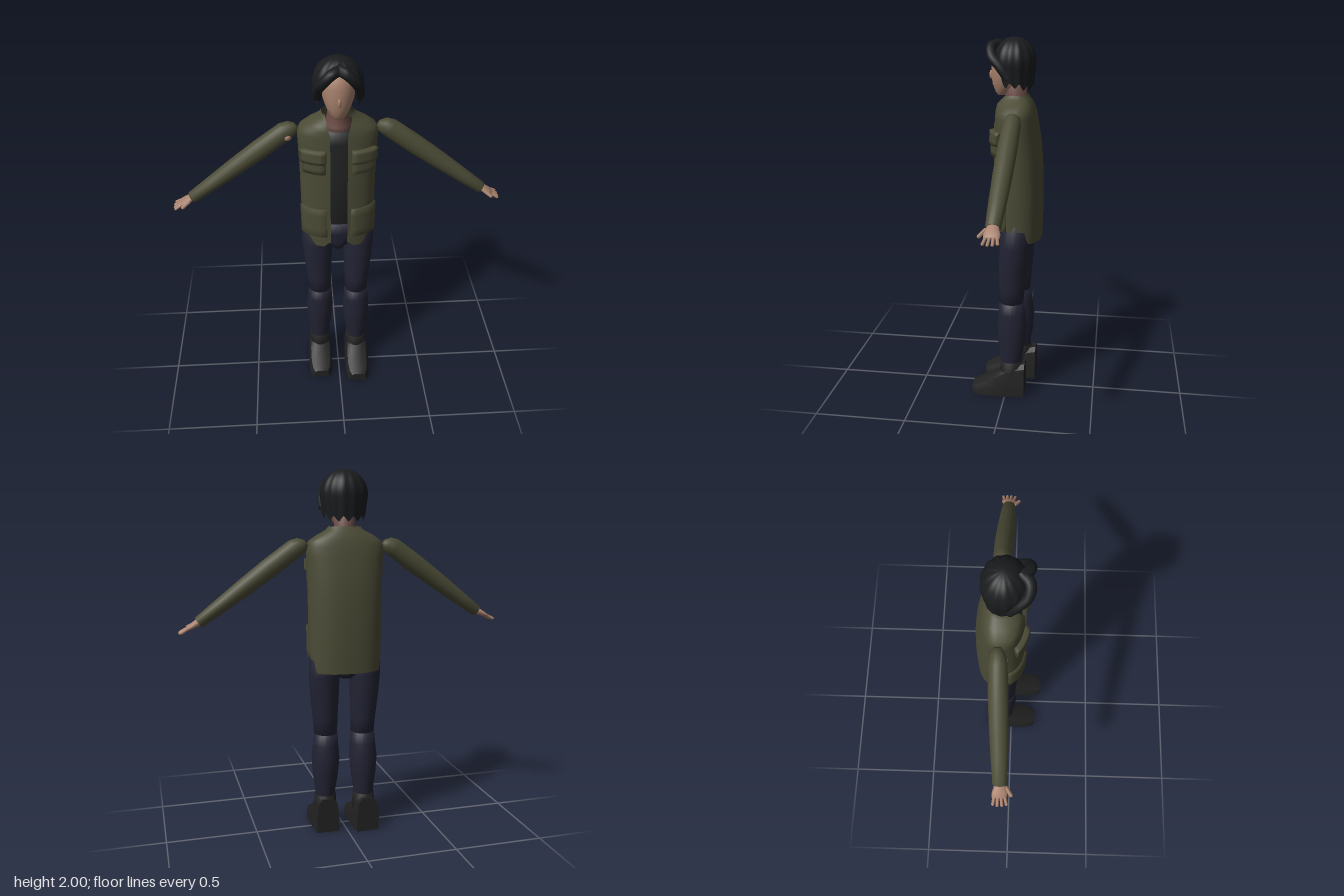
import * as THREE from 'three';
import { toCreasedNormals } from 'three/addons/utils/BufferGeometryUtils.js';

const mat = (name, color, side = THREE.FrontSide) => {
  const m = new THREE.MeshStandardMaterial({ color, side });
  m.name = name;
  return m;
};

// Surface from a rule f(u, v) -> [x, y, z]; wrap joins the first and last columns
function grid(nu, nv, f, wrap = false) {
  const pos = [], idx = [], cols = wrap ? nu : nu + 1;
  for (let j = 0; j <= nv; j++) for (let i = 0; i < cols; i++) pos.push(...f(i / nu, j / nv, i, j));
  for (let j = 0; j < nv; j++) for (let i = 0; i < nu; i++) {
    const k = (i + 1) % cols, a = j * cols + i, b = j * cols + k;
    idx.push(a, b, b + cols, a, b + cols, a + cols);
  }
  const g = new THREE.BufferGeometry();
  g.setAttribute('position', new THREE.Float32BufferAttribute(pos, 3));
  g.setIndex(idx);
  g.computeVertexNormals();
  return g;
}

// Closed loft up the y axis; rows are [y, cx, cz, rx, rz], capped at both ends
function loft(rows, n = 20) {
  const flat = (r) => [r[0], r[1], r[2], 0, 0];
  const all = [flat(rows[0]), ...rows, flat(rows[rows.length - 1])];
  return grid(n, all.length - 1, (u, v, i, j) => {
    const [y, cx, cz, rx, rz] = all[j], t = u * Math.PI * 2;
    return [cx + rx * Math.sin(t), y, cz + rz * Math.cos(t)];
  }, true);
}

const lerp = THREE.MathUtils.lerp;
const TAU = Math.PI * 2;
const spow = (a, p) => Math.sign(a) * Math.abs(a) ** p;

// Jacket rows: [y, half width, front z, back z, half opening]
const JACKET = [
  [0.93, 0.195, 0.07, -0.188, 0.045], [1.05, 0.198, 0.073, -0.19, 0.045],
  [1.2, 0.2, 0.075, -0.19, 0.045], [1.35, 0.202, 0.075, -0.185, 0.045],
  [1.45, 0.205, 0.073, -0.176, 0.045], [1.55, 0.209, 0.069, -0.16, 0.045],
  [1.6, 0.21, 0.066, -0.15, 0.046], [1.63, 0.195, 0.063, -0.142, 0.05],
  [1.66, 0.15, 0.058, -0.132, 0.06], [1.685, 0.1, 0.048, -0.117, 0.065],
  [1.705, 0.085, 0.038, -0.105, 0.068],
];
function jacketRow(y) {
  let k = 0;
  while (k < JACKET.length - 2 && y > JACKET[k + 1][0]) k++;
  const a = JACKET[k], b = JACKET[k + 1], f = (y - a[0]) / (b[0] - a[0]);
  return a.map((q, i) => lerp(q, b[i], f));
}
function jacketPoint(t, y, off = 0) {
  const [, rx, zf, zb] = jacketRow(y), c = spow(Math.cos(t), 0.85);
  return [(rx + off) * spow(Math.sin(t), 0.85), y, -0.055 + c * (c > 0 ? zf + 0.055 + off : -0.055 - zb + off)];
}
// Hem is cut higher at the sides
function hem(t) {
  const a = Math.min(t, TAU - t), s = THREE.MathUtils.smoothstep;
  return 0.93 + 0.07 * s(a, 0.6, 1.0) * (1 - s(a, 1.9, 2.1)) + 0.03 * (1 - s(a, 0.2, 0.35));
}
// Raised cloth panel that follows the jacket
const patch = (t0, t1, y0, y1, off) => grid(8, 6, (u, v, i, j) => {
  const edge = i === 0 || i === 8 || j === 0 || j === 6;
  const k = (n, m) => Math.min(Math.max((n - 1) / (m - 2), 0), 1);
  return jacketPoint(lerp(t0, t1, k(i, 8)), lerp(y0, y1, k(j, 6)), edge ? -0.004 : off);
});

export function createModel() {
  const M = {
    jacket: mat('olive cloth', 0x4b4b36, THREE.DoubleSide),
    jeans: mat('navy denim', 0x222333),
    shirt: mat('charcoal shirt', 0x222324),
    shoe: mat('black leather', 0x222222),
    hair: mat('black hair', 0x191b1d, THREE.DoubleSide),
    skin: mat('skin', 0xa8826d),
    neck: mat('neck skin', 0x6c4d46),
  };
  const model = new THREE.Group();
  const add = (name, geo, m, parent = model) => {
    const mesh = new THREE.Mesh(geo, m);
    mesh.name = name;
    parent.add(mesh);
    return mesh;
  };

  // Jacket shell, open down the front
  add('jacket', grid(64, JACKET.length - 1, (u, v, i, j) => {
    const [y, rx, , , gap] = JACKET[j];
    const t0 = Math.asin((gap / rx) ** (1 / 0.85));
    const t = lerp(t0, TAU - t0, u);
    return jacketPoint(t, j === 0 ? hem(t) : y);
  }), M.jacket);
  for (const [side, a] of [['left', 1], ['right', -1]]) {
    const pocket = (name, t0, t1, y0, y1, off) =>
      add(side + name, a > 0 ? patch(t0, t1, y0, y1, off) : patch(-t1, -t0, y0, y1, off), M.jacket);
    pocket('ChestPocket', 0.28, 0.98, 1.4, 1.5, 0.018);
    pocket('ChestFlap', 0.26, 1.02, 1.46, 1.53, 0.026);
    pocket('HipPocket', 0.27, 1.3, 1.0, 1.175, 0.012);
  }

  // Shirt and pelvis
  add('shirt', loft([[1.07, 0, -0.055, 0.17, 0.112], [1.4, 0, -0.055, 0.17, 0.112],
    [1.55, 0, -0.05, 0.17, 0.1], [1.62, 0, -0.045, 0.14, 0.095]], 32), M.shirt);
  add('pelvis', loft([[0.89, 0, -0.045, 0.045, 0.08], [0.93, 0, -0.05, 0.09, 0.09],
    [0.99, 0, -0.055, 0.16, 0.102], [1.07, 0, -0.055, 0.172, 0.113]], 32), M.jeans);

  // Legs and shoes, the right one standing slightly back
  const SOLE = [[-1, 0], [1, 0], [1, 0.45], [0.82, 0.88], [0.45, 1], [-0.45, 1], [-0.82, 0.88], [-1, 0.45]];
  const SHOE = [[-0.13, 0, 0.19], [-0.13, 0.064, 0.195], [-0.04, 0.07, 0.175], [0.03, 0.071, 0.13],
    [0.1, 0.07, 0.085], [0.145, 0.062, 0.064], [0.17, 0.046, 0.05], [0.17, 0, 0.05]];
  for (const [side, s] of [['left', 1], ['right', -1]]) {
    const leg = (rows) => loft(rows.map(([y, x, z, rx, rz]) =>
      [y, s * x, z + s * 0.016 * (1 - Math.min(y, 1)), rx, rz]));
    add(side + 'Thigh', leg([[0.555, 0.105, -0.038, 0.064, 0.066], [0.65, 0.108, -0.04, 0.069, 0.073],
      [0.78, 0.113, -0.045, 0.079, 0.08], [0.9, 0.116, -0.052, 0.085, 0.083], [1.03, 0.115, -0.057, 0.083, 0.083]]), M.jeans);
    add(side + 'Shin', leg([[0.14, 0.109, -0.042, 0.05, 0.055], [0.22, 0.109, -0.043, 0.056, 0.06],
      [0.32, 0.108, -0.045, 0.07, 0.077], [0.42, 0.107, -0.045, 0.078, 0.084],
      [0.5, 0.106, -0.042, 0.071, 0.076], [0.565, 0.105, -0.038, 0.067, 0.068]]), M.jeans);
    add(side + 'ShoeCuff', leg([[0.1, 0.109, -0.045, 0.064, 0.066], [0.205, 0.109, -0.045, 0.06, 0.064]]), M.shoe);
    const shoe = add(side + 'Shoe', toCreasedNormals(grid(8, SHOE.length - 1, (u, v, i, j) => {
      const [z, w, h] = SHOE[j], p = SOLE[i % 8];
      return [p[0] * w, w ? p[1] * h : h / 2, z];
    }, true), 0.6), M.shoe);
    shoe.position.set(s * 0.111, 0, s * 0.02);
  }

  // Arms: sleeve and hand built along local y, then turned outward
  const arm = (side, from, to) => {
    const g = new THREE.Group();
    g.name = side + 'Arm';
    g.position.copy(from);
    const dir = to.clone().sub(from), len = dir.length(), s = Math.sign(dir.x);
    g.quaternion.setFromUnitVectors(new THREE.Vector3(0, 1, 0), dir.normalize());
    add(side + 'Sleeve', loft([[-0.035, s * 0.012, 0, 0.02, 0.018], [-0.012, s * 0.006, 0, 0.042, 0.036],
      [0.03, 0, 0, 0.052, 0.046], [len * 0.3, 0, 0, 0.053, 0.05], [len * 0.55, 0, 0, 0.048, 0.048],
      [len * 0.8, 0, 0, 0.039, 0.043], [len, 0, 0, 0.032, 0.037]]), M.jacket, g);
    const hand = new THREE.Group();
    hand.name = side + 'Hand';
    hand.position.y = len - 0.015;
    hand.rotation.z = s * 0.13;
    g.add(hand);
    add(side + 'Palm', loft([[0, 0, 0, 0.02, 0.025], [0.03, 0, 0, 0.018, 0.032],
      [0.06, 0, -0.002, 0.014, 0.04], [0.085, 0, -0.004, 0.01, 0.038]], 14), M.skin, hand);
    for (let i = 0; i < 4; i++) {
      const f = add(side + 'Finger' + (i + 1), new THREE.CapsuleGeometry(0.008, [0.035, 0.048, 0.05, 0.042][i], 3, 8), M.skin, hand);
      f.position.set(0, 0.1, -0.034 + i * 0.02);
      f.rotation.x = (i - 1.5) * 0.13;
    }
    const thumb = add(side + 'Thumb', new THREE.CapsuleGeometry(0.01, 0.045, 3, 8), M.skin, hand);
    thumb.position.set(0, 0.055, 0.043);
    thumb.rotation.x = 0.5;
    model.add(g);
  };
  arm('left', new THREE.Vector3(0.248, 1.61, -0.055), new THREE.Vector3(0.782, 1.22, -0.04));
  arm('right', new THREE.Vector3(-0.248, 1.605, -0.06), new THREE.Vector3(-0.782, 1.22, -0.036));
  const skinPatch = add('shoulderSkin', new THREE.SphereGeometry(0.03, 14, 10), M.skin);
  skinPatch.position.set(-0.262, 1.567, -0.05);
  skinPatch.scale.set(0.9, 0.85, 1.35);

  // Neck and head
  add('neck', loft([[1.6, 0, -0.045, 0.08, 0.085], [1.64, 0, -0.045, 0.068, 0.075],
    [1.69, 0, -0.042, 0.054, 0.058], [1.78, 0, -0.035, 0.054, 0.06]]), M.neck);
  add('head', loft([[1.7, 0, 0.035, 0.022, 0.022], [1.72, 0, 0.025, 0.042, 0.045],
    [1.76, 0, 0.01, 0.065, 0.075], [1.81, 0, 0, 0.081, 0.09], [1.87, 0, -0.008, 0.09, 0.098],
    [1.92, 0, -0.012, 0.085, 0.092], [1.96, 0, -0.015, 0.06, 0.06]], 28), M.skin);
  const nose = add('nose', new THREE.SphereGeometry(0.012, 10, 8), M.skin);
  nose.position.set(0, 1.805, 0.09);
  nose.scale.set(0.8, 2, 1);

  // Hair cap with ragged locks, cut away around the face
  add('hair', grid(78, 16, (u, v) => {
    const t = u * TAU, a = Math.min(t, TAU - t), s = THREE.MathUtils.smoothstep;
    const low = 1.93 - 0.07 * s(a, 0.3, 0.85) - 0.1 * s(a, 0.85, 1.1) - 0.015 * s(a, 1.6, 2.4) + 0.014 * Math.cos(13 * t);
    const y = lerp(low, 2, 1 - (1 - v) ** 2);
    const up = (y - 1.87) / 0.13;
    const r = up > 0 ? Math.sqrt(Math.max(0, 1 - up * up)) : 1 + up * 0.13;
    const k = r * (1 + 0.022 * Math.cos(13 * t));
    return [0.127 * k * Math.sin(t), y, -0.035 + (Math.cos(t) > 0 ? 0.118 : 0.11) * k * Math.cos(t)];
  }, true), M.hair);
  // Parted fringe
  for (const [side, s] of [['left', 1], ['right', -1]]) {
    const path = new THREE.CatmullRomCurve3([[-0.01, 1.962, 0.045], [0.035, 1.952, 0.083], [0.08, 1.905, 0.075],
      [0.102, 1.855, 0.03], [0.105, 1.8, -0.01]].map(([x, y, z]) => new THREE.Vector3(s * x, y, z)));
    add(side + 'Fringe', new THREE.TubeGeometry(path, 20, 0.027, 10), M.hair);
  }
  return model;
}
